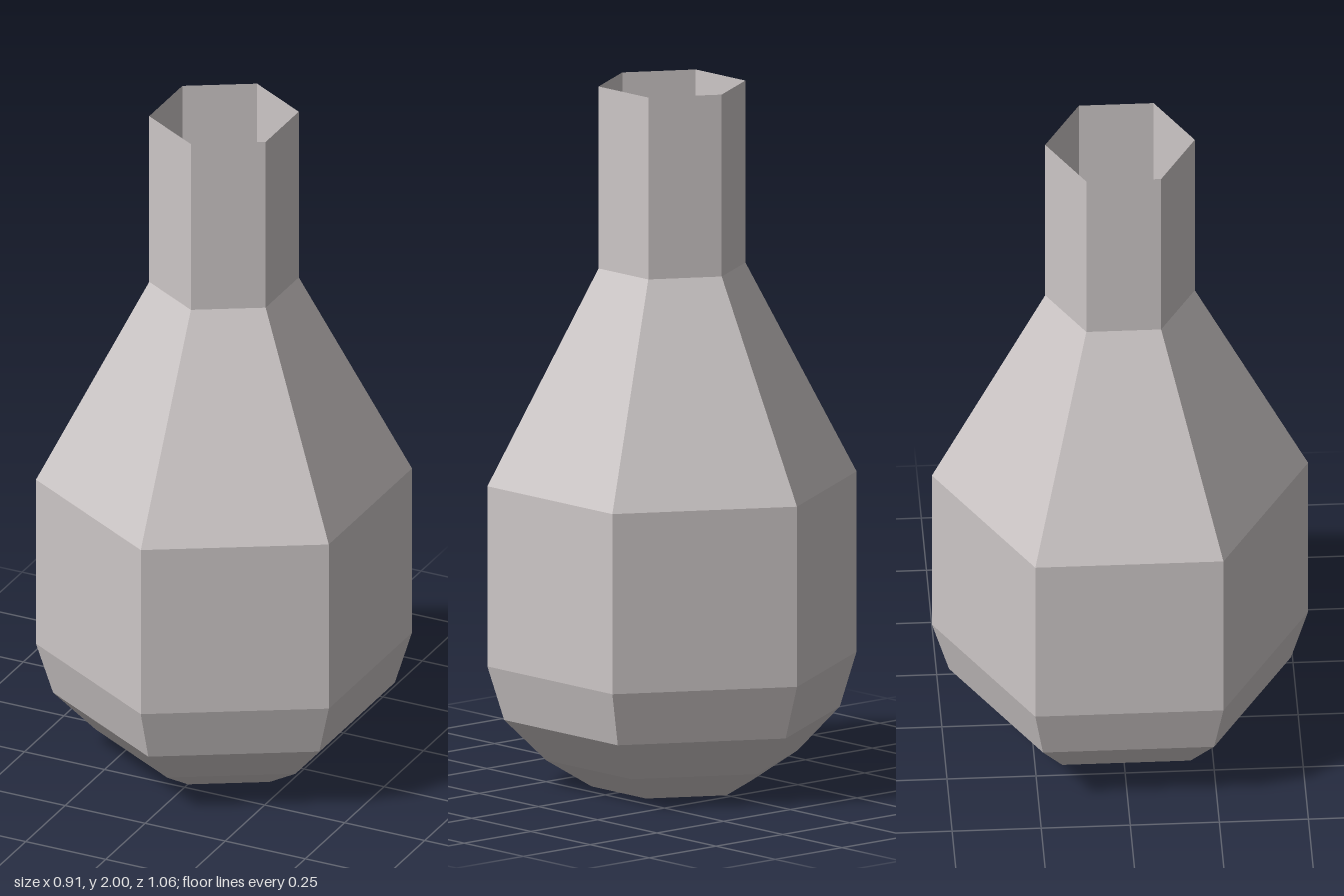
import * as THREE from 'three';

const SIDES = 6;

// Six-sided turned shape from [radius, height] pairs, listed bottom to top
function turned(name, profile, color, side = THREE.FrontSide) {
  const points = profile.map(([r, y]) => new THREE.Vector2(r, y));
  const mesh = new THREE.Mesh(
    new THREE.LatheGeometry(points, SIDES),
    new THREE.MeshStandardMaterial({ color, flatShading: true, side })
  );
  mesh.name = name;
  return mesh;
}

export function createModel() {
  const flask = new THREE.Group();
  flask.name = 'flask';

  // Thin open-topped shell: closed base, rounded belly, sloping shoulder, straight neck
  flask.add(turned('bottle', [
    [0, 0], [0.23, 0], [0.36, 0.08], [0.48, 0.2], [0.528, 0.355],
    [0.528, 0.87], [0.21, 1.48], [0.21, 2],
  ], 0xccc6c6, THREE.DoubleSide));

  // Liquid filling the belly, just inside the shell
  flask.add(turned('liquid', [
    [0, 0.01], [0.22, 0.01], [0.345, 0.088], [0.465, 0.206], [0.513, 0.358],
    [0.513, 0.86], [0, 0.86],
  ], 0xf0a030));

  return flask;
}
